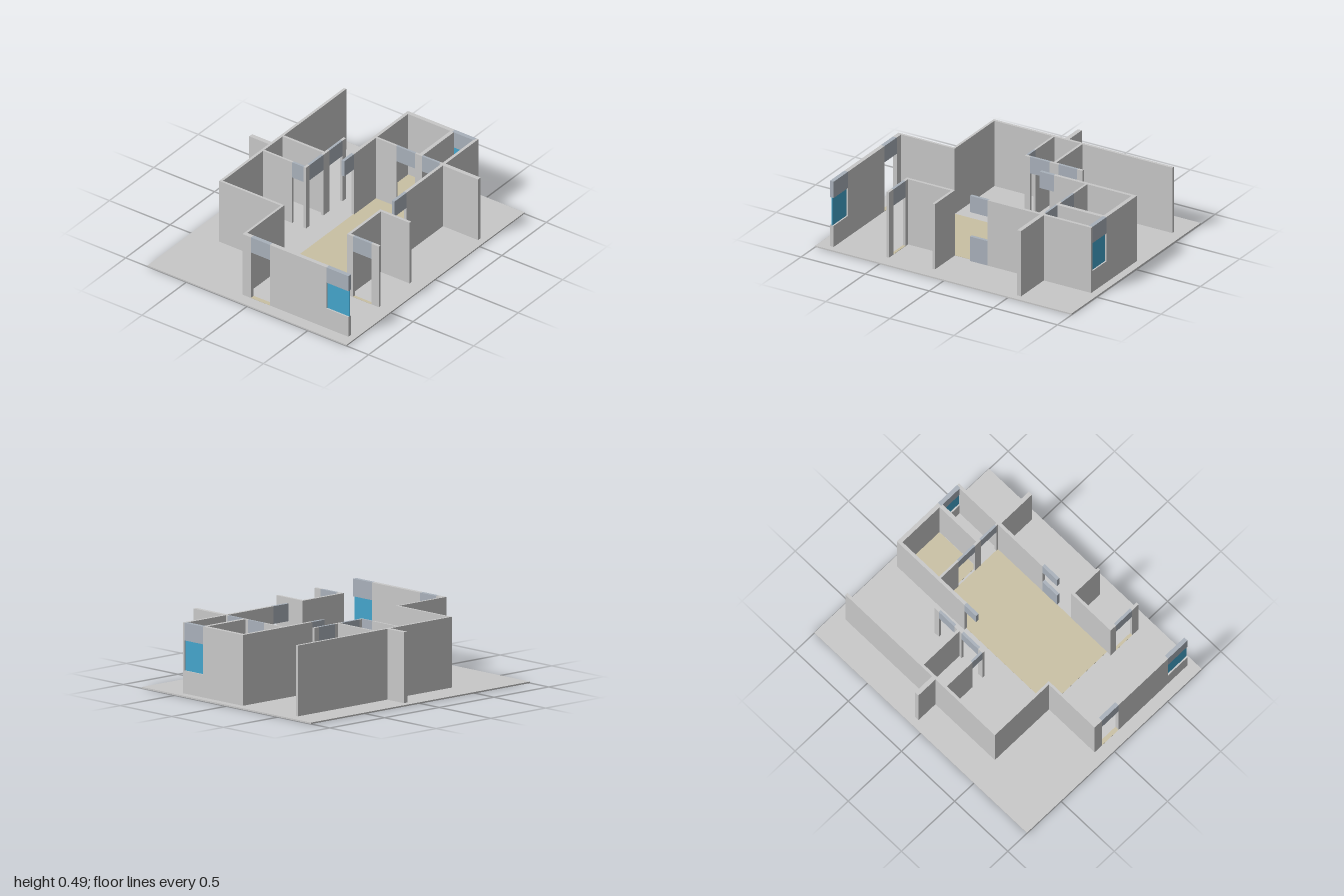
import * as THREE from 'three';

const FLOOR = 0.01, TOP = 0.49, HEAD = 0.37;

function material(name, color) {
  const m = new THREE.MeshStandardMaterial({ color });
  m.name = name;
  return m;
}

export function createModel() {
  const plaster = material('grey plaster', 0xc8c8c8);
  const lintelBlue = material('blue grey panel', 0xa9b1bb);
  const tan = material('tan floor', 0xc9c0a3);
  const glass = material('window glass', 0x44a5cc);

  const model = new THREE.Group();
  model.name = 'floorPlanHouse';

  // Box given by its limits on each axis
  function block(parent, name, mat, x0, x1, y0, y1, z0, z1) {
    const mesh = new THREE.Mesh(new THREE.BoxGeometry(x1 - x0, y1 - y0, z1 - z0), mat);
    mesh.position.set((x0 + x1) / 2, (y0 + y1) / 2, (z0 + z1) / 2);
    mesh.name = name;
    parent.add(mesh);
  }

  // Straight wall along its longer side, cut by openings listed in order
  function wall(name, x0, x1, z0, z1, openings = []) {
    const group = new THREE.Group();
    group.name = name;
    model.add(group);
    const alongX = x1 - x0 > z1 - z0;
    const end = alongX ? x1 : z1;
    const part = (label, mat, a, b, y0, y1, inset = 0) => alongX
      ? block(group, label, mat, a, b, y0, y1, z0 + inset, z1 - inset)
      : block(group, label, mat, x0 + inset, x1 - inset, y0, y1, a, b);
    let from = alongX ? x0 : z0;
    for (const o of openings) {
      if (o.a > from) part('wallPanel', plaster, from, o.a, FLOOR, TOP);
      part('lintel', lintelBlue, o.a, o.b, HEAD, TOP);
      if (o.sill) part('sill', o.sillMaterial, o.a, o.b, FLOOR, o.sill);
      if (o.glazed) {
        const thickness = alongX ? z1 - z0 : x1 - x0;
        part('glassPane', glass, o.a, o.b, o.sill, HEAD, thickness / 2 - 0.004);
      }
      if (o.threshold) part('threshold', tan, o.a, o.b, FLOOR, FLOOR + 0.002);
      from = o.b;
    }
    if (end > from) part('wallPanel', plaster, from, end, FLOOR, TOP);
  }

  const door = (a, b, threshold = false) => ({ a, b, threshold });
  const glazedWindow = (a, b) => ({ a, b, sill: 0.165, sillMaterial: plaster, glazed: true });

  // Ground slab and room floors
  block(model, 'groundSlab', plaster, -1, 1, 0, FLOOR, -0.82, 0.82);
  block(model, 'livingRoomFloor', tan, -0.47, 0.557, FLOOR, FLOOR + 0.002, -0.083, 0.462);
  block(model, 'bedroomFloor', tan, 0.57, 0.917, FLOOR, FLOOR + 0.002, -0.075, 0.27);

  // Rear of the house
  wall('backWall', -0.485, 0.92, -0.608, -0.588);
  wall('backStub', 0.073, 0.105, -0.768, -0.608);
  wall('rearSideWall', -0.485, -0.467, -0.588, -0.083);
  wall('rearStepWall', -0.885, -0.485, -0.1, -0.083);

  // Left-hand outer wall with door and window
  wall('outerSideWall', -0.915, -0.885, -0.1, 0.772,
    [door(-0.03, 0.125, true), glazedWindow(0.59, 0.772)]);

  // Small rear room
  wall('rearRoomSideWall', -0.015, 0.001, -0.588, -0.255, [door(-0.35, -0.255)]);
  wall('rearRoomDivider', 0.202, 0.22, -0.588, -0.255);
  wall('rearRoomFrontWall', -0.015, 0.435, -0.255, -0.236,
    [door(0.025, 0.18), door(0.25, 0.395)]);

  // Bedroom and bathroom block
  wall('bedroomBackWall', 0.2, 0.945, -0.1, -0.077, [door(0.2, 0.31)]);
  wall('bedroomOuterWall', 0.915, 0.945, -0.077, 0.482, [glazedWindow(0.287, 0.465)]);
  wall('bedroomInnerWall', 0.555, 0.571, -0.077, 0.46,
    [door(0.09, 0.245), door(0.3, 0.445)]);
  wall('bathroomDivider', 0.571, 0.915, 0.272, 0.3);

  // Front walls and porch stubs
  wall('frontWall', 0, 0.915, 0.46, 0.482,
    [{ a: 0, b: 0.137, sill: 0.19, sillMaterial: lintelBlue }]);
  wall('frontStub', 0.545, 0.575, 0.482, 0.77);
  wall('porchBackWall', -0.505, -0.13, 0.46, 0.48);
  wall('porchDoorWall', -0.505, -0.485, 0.48, 0.722, [door(0.51, 0.662, true)]);
  wall('porchSideWall', -0.15, -0.13, 0.48, 0.715);

  return model;
}
